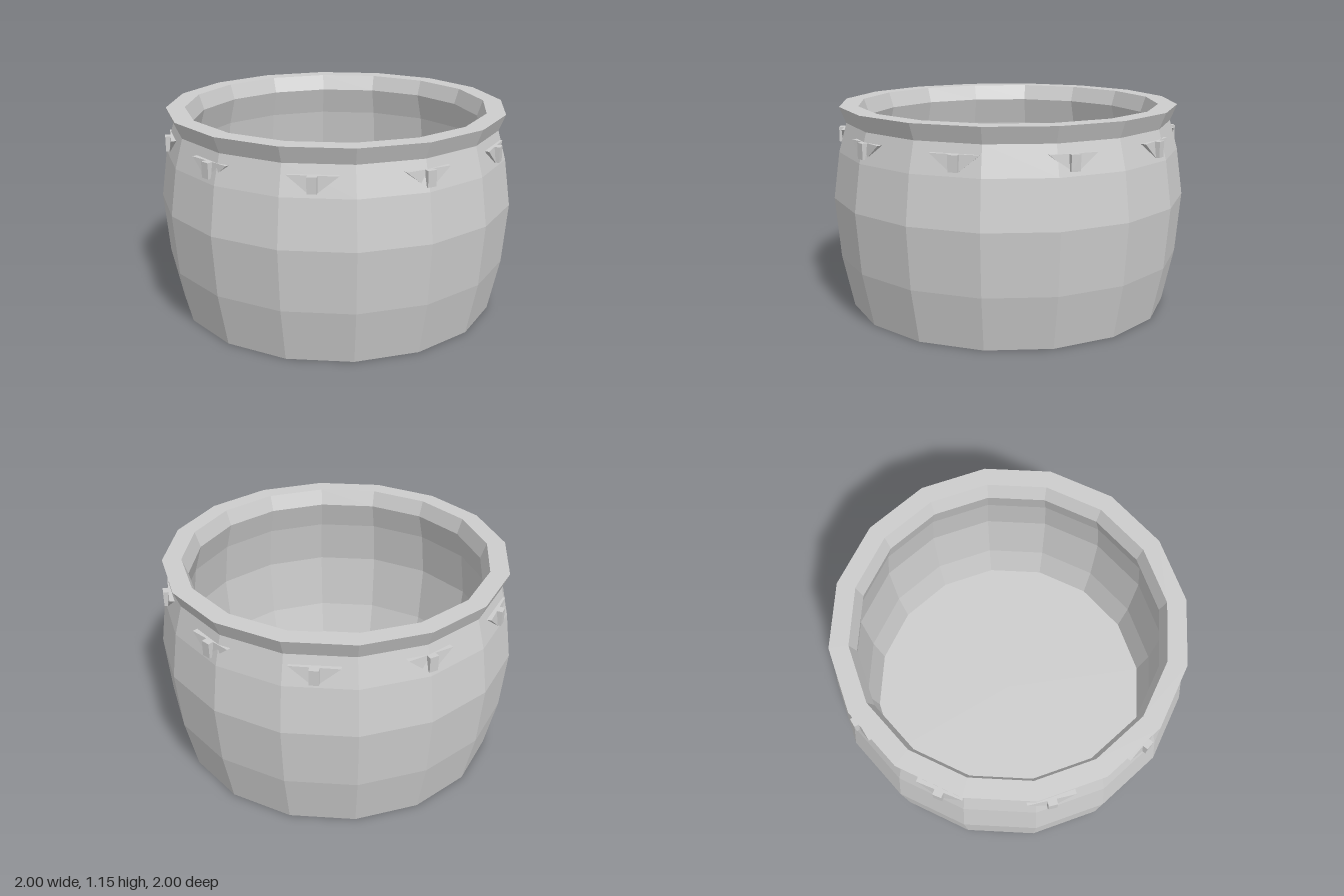
import * as THREE from 'three';

const SIDES = 16;
const TURN = -0.09; // slight twist of the facets about the vertical axis

// Faceted ring or vessel from [radius, height] pairs, running upward on the outside
function facetedLathe(profile) {
  const points = profile.map(([r, y]) => new THREE.Vector2(r, y));
  const geometry = new THREE.LatheGeometry(points, SIDES, TURN).toNonIndexed();
  geometry.computeVertexNormals();
  return geometry;
}

export function createModel() {
  const model = new THREE.Group();
  model.name = 'pot';
  const clay = new THREE.MeshStandardMaterial({ color: 0xcccccc });
  clay.name = 'grey clay';

  const add = (parent, name, geometry) => {
    const mesh = new THREE.Mesh(geometry, clay);
    mesh.name = name;
    parent.add(mesh);
    return mesh;
  };

  // Bulging outer wall with its flat base
  add(model, 'outerWall', facetedLathe([
    [0, 0], [0.914, 0], [0.977, 0.3], [1.004, 0.64], [0.967, 0.9], [0.922, 1.06],
  ]));

  // Flared rim
  add(model, 'rim', facetedLathe([
    [0.922, 1.06], [0.958, 1.15], [0.853, 1.15], [0.822, 1.06],
  ]));

  // Hollow inside and floor
  add(model, 'innerWall', facetedLathe([
    [0.822, 1.06], [0.868, 0.9], [0.904, 0.64], [0.877, 0.3], [0.83, 0.1], [0, 0.1],
  ]));

  // Ten small lugs under the rim: an upright block with tapering wings
  const wing = new THREE.Shape([
    new THREE.Vector2(-0.025, 0.925),
    new THREE.Vector2(0.025, 0.925),
    new THREE.Vector2(0.13, 1.01),
    new THREE.Vector2(-0.13, 1.01),
  ]);
  const wingGeometry = new THREE.ExtrudeGeometry(wing, { depth: 0.06, bevelEnabled: false });
  // draw the wing ends back toward the wall
  const p = wingGeometry.attributes.position;
  for (let i = 0; i < p.count; i++) {
    p.setZ(i, p.getZ(i) + 0.888 - 0.1 * Math.max(0, Math.abs(p.getX(i)) - 0.025));
  }
  wingGeometry.computeVertexNormals();
  const blockGeometry = new THREE.BoxGeometry(0.05, 0.085, 0.09).translate(0, 0.9675, 0.922);

  for (let i = 0; i < 10; i++) {
    const lug = new THREE.Group();
    lug.name = 'lug';
    lug.rotation.y = Math.PI / 2 + (i * Math.PI) / 5;
    add(lug, 'lugBlock', blockGeometry);
    add(lug, 'lugWings', wingGeometry);
    model.add(lug);
  }
  return model;
}
